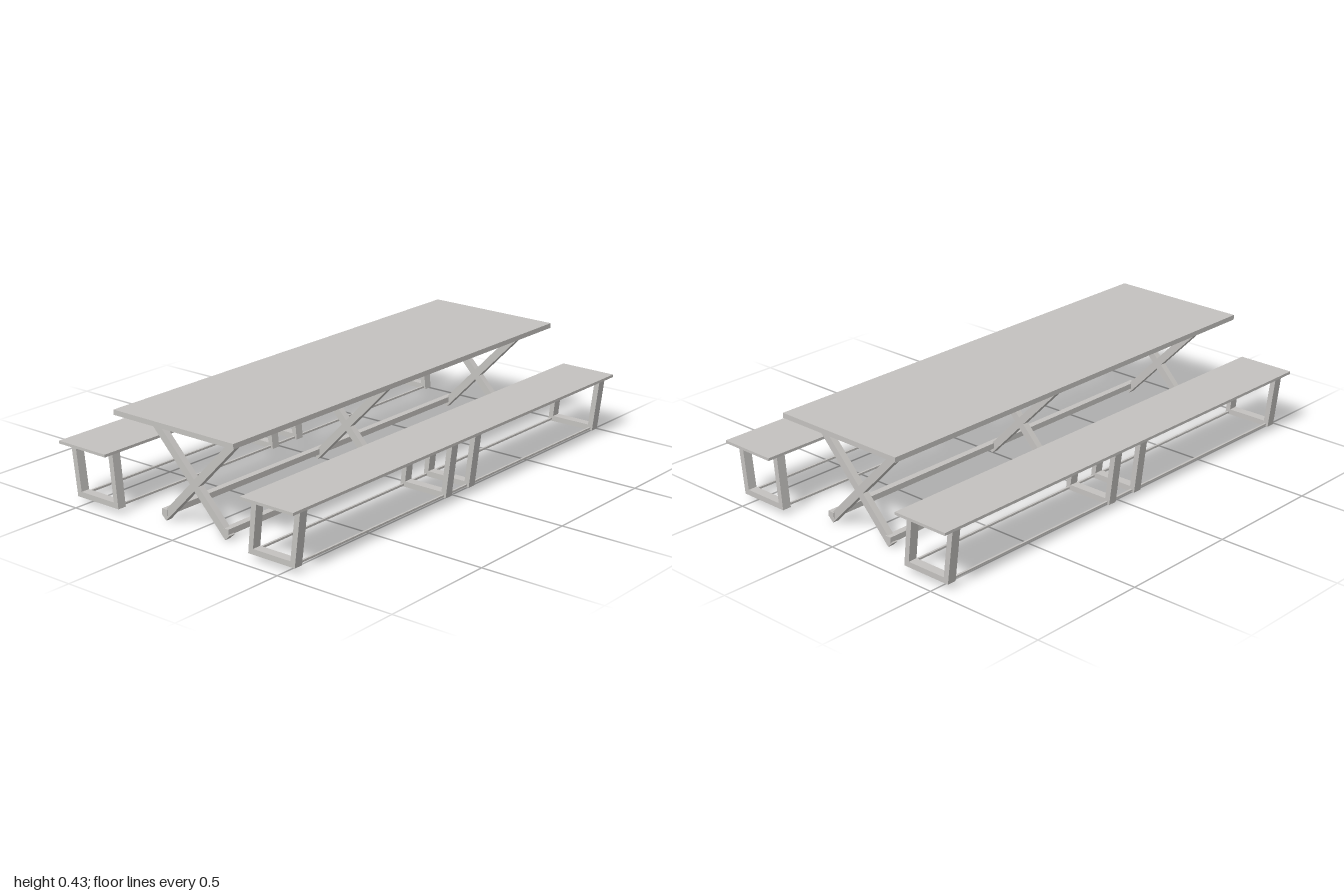
import * as THREE from 'three';

const grey = new THREE.MeshStandardMaterial({ color: 0xc4c2bf });
grey.name = 'light grey';

function add(parent, name, geometry) {
  const mesh = new THREE.Mesh(geometry, grey);
  mesh.name = name;
  parent.add(mesh);
  return mesh;
}

// Box given by its limits on each axis
function box(parent, name, x0, x1, y0, y1, z0, z1) {
  const mesh = add(parent, name, new THREE.BoxGeometry(x1 - x0, y1 - y0, z1 - z0));
  mesh.position.set((x0 + x1) / 2, (y0 + y1) / 2, (z0 + z1) / 2);
  return mesh;
}

// Flat outline in (z, y), extruded along x and centred on x = 0
function plate(points, width, hole) {
  const toVectors = (list) => list.map(([z, y]) => new THREE.Vector2(z, y));
  const shape = new THREE.Shape(toVectors(points));
  if (hole) shape.holes.push(new THREE.Path(toVectors(hole)));
  const geometry = new THREE.ExtrudeGeometry(shape, { depth: width, bevelEnabled: false });
  return geometry.translate(0, 0, -width / 2).rotateY(-Math.PI / 2);
}

function createTable() {
  const table = new THREE.Group();
  table.name = 'table';
  box(table, 'tableTop', -0.985, 0.953, 0.407, 0.427, -0.292, 0.293);

  // Frame under the top
  const mid = -0.002;
  for (const s of [-1, 1]) {
    const z = mid + s * 0.215;
    box(table, 'longRail', -0.917, 0.902, 0.387, 0.407, z - 0.015, z + 0.015);
  }
  for (const x of [-0.902, 0.887]) {
    box(table, 'endRail', x - 0.015, x + 0.015, 0.387, 0.407, mid - 0.2, mid + 0.2);
  }

  // Crossed legs
  const arm = [[0.23, 0.388], [0.187, 0.388], [-0.169, 0.021], [-0.147, 0]];
  const mirrored = arm.map(([z, y]) => [-z, y]);
  for (const x of [-0.865, -0.008, 0.85]) {
    const cross = new THREE.Group();
    cross.name = 'crossLeg';
    cross.position.set(x, 0, mid);
    add(cross, 'legArm', plate(arm, 0.027));
    add(cross, 'legArm', plate(mirrored, 0.027));
    table.add(cross);
  }

  // Long rails joining the feet
  for (const s of [-1, 1]) {
    const z = mid + s * 0.151;
    box(table, 'footRail', -0.88, 0.868, 0.022, 0.045, z - 0.014, z + 0.014);
  }
  return table;
}

// Bench on the +z side
function createBench() {
  const bench = new THREE.Group();
  bench.name = 'bench';
  box(bench, 'seat', -1, 1, 0.238, 0.249, 0.332, 0.575);

  // Leaning loop frames
  const outer = [[0.325, 0.022], [0.54, 0.022], [0.567, 0.238], [0.346, 0.238]];
  const inner = [[0.348, 0.044], [0.52, 0.044], [0.543, 0.228], [0.368, 0.228]];
  // Legs run straight up to the seat, so each frame is an open U
  const loop = [outer[0], outer[1], outer[2], [0.544, 0.238], inner[1], inner[0],
    [0.369, 0.238], outer[3]];
  for (const x of [-0.935, -0.074, 0.072, 0.93]) {
    add(bench, 'benchFrame', plate(loop, 0.038)).position.x = x;
  }

  // Thin rods along the feet
  for (const z of [0.338, 0.528]) {
    box(bench, 'rod', -0.935, 0.93, 0.026, 0.034, z - 0.004, z + 0.004);
  }
  return bench;
}

export function createModel() {
  const model = new THREE.Group();
  model.name = 'picnicTableWithBenches';
  model.add(createTable());
  const front = createBench();
  front.name = 'frontBench';
  const back = createBench();
  back.name = 'backBench';
  back.rotation.y = Math.PI;
  model.add(front, back);
  return model;
}
